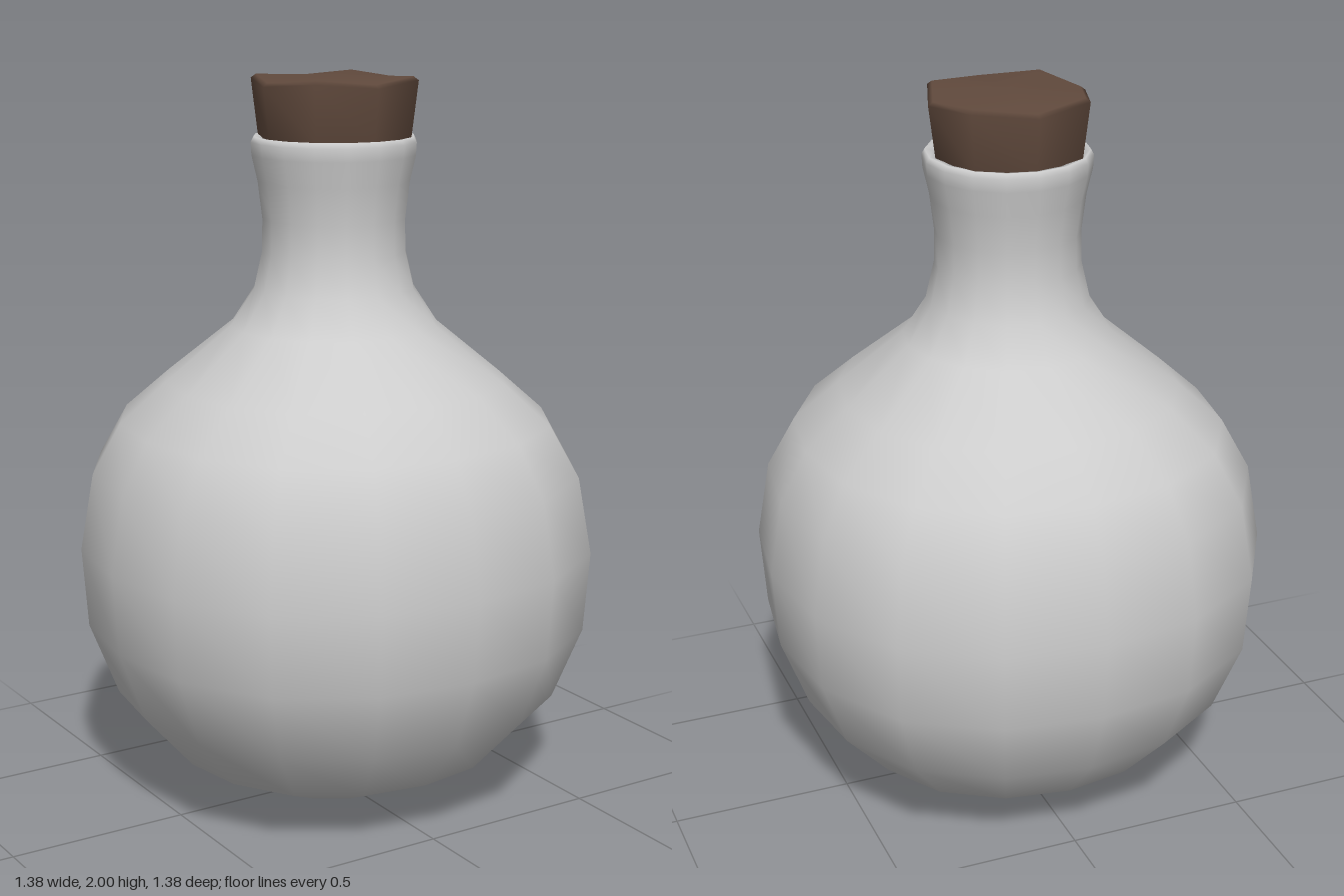
import * as THREE from 'three';
import { mergeVertices } from 'three/addons/utils/BufferGeometryUtils.js';

// Turned form whose vertices are moved by a rule, then smoothed without a seam
function turned(profile, sides, rule) {
  let geo = new THREE.LatheGeometry(profile.map(([r, y]) => new THREE.Vector2(r, y)), sides);
  const pos = geo.attributes.position;
  for (let i = 0; i < pos.count; i++) {
    const x = pos.getX(i), y = pos.getY(i), z = pos.getZ(i);
    const diagonal = Math.sin(2 * Math.atan2(z, x)) ** 2; // 0 on the axes, 1 between them
    const [scale, lift] = rule(Math.hypot(x, z), y, diagonal);
    pos.setXYZ(i, x * scale, y + lift, z * scale);
  }
  geo.deleteAttribute('uv');
  geo.deleteAttribute('normal');
  geo = mergeVertices(geo, 1e-4);
  geo.computeVertexNormals();
  return geo;
}

export function createModel() {
  const glass = new THREE.MeshStandardMaterial({ color: 0xcccccc });
  glass.name = 'pale grey glass';
  const corkBrown = new THREE.MeshStandardMaterial({ color: 0x614a3d });
  corkBrown.name = 'cork brown';

  const group = new THREE.Group();
  group.name = 'corkedFlask';

  // Round belly, narrow neck, flared rim and the inside of the lip
  const flaskProfile = [
    [0, 0], [0.25, 0.04], [0.46, 0.14], [0.6, 0.3], [0.675, 0.5], [0.69, 0.72],
    [0.655, 0.93], [0.58, 1.07], [0.46, 1.18], [0.285, 1.33], [0.22, 1.43],
    [0.197, 1.53], [0.195, 1.62], [0.207, 1.72], [0.223, 1.79], [0.225, 1.825],
    [0.217, 1.84], [0.195, 1.835], [0.18, 1.8], [0.17, 1.7],
  ];
  const flask = new THREE.Mesh(
    turned(flaskProfile, 16, (r, y, d) => [y < 1.3 ? 1 + 0.04 * d * Math.min(1, r / 0.69) : 1, 0]),
    glass);
  flask.name = 'flask';
  group.add(flask);

  // Eight-sided tapered stopper with a slightly uneven top edge
  const corkProfile = [[0, 1.72], [0.165, 1.72], [0.2, 1.835], [0.218, 1.975], [0.205, 1.985], [0, 2]];
  const cork = new THREE.Mesh(
    turned(corkProfile, 8, (r, y, d) => [1 + 0.05 * d, y > 1.9 && r > 0.1 ? 0.013 * d : 0]),
    corkBrown);
  cork.name = 'cork';
  group.add(cork);

  return group;
}
